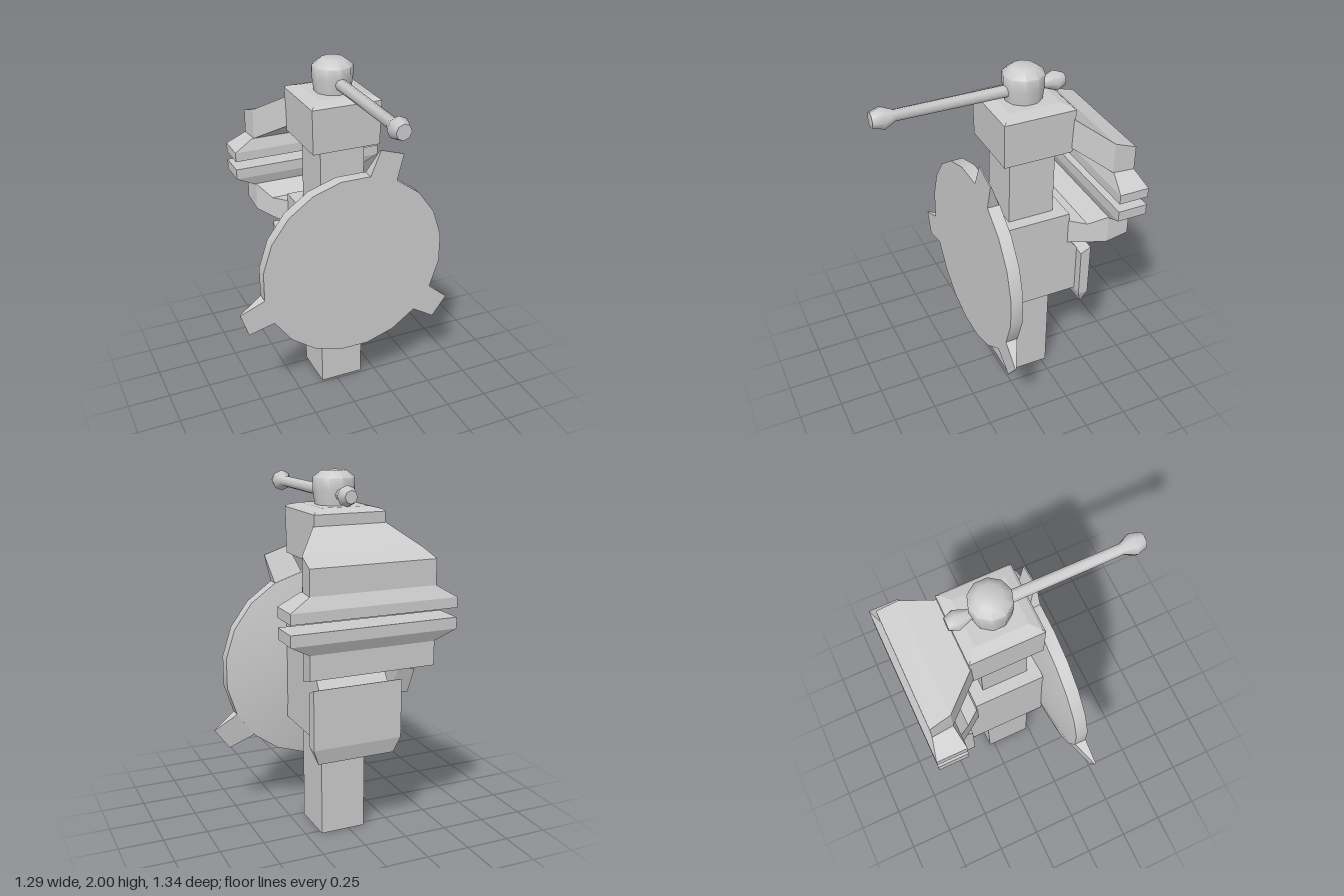
import * as THREE from 'three';
import { toCreasedNormals } from 'three/addons/utils/BufferGeometryUtils.js';

// Rectangular cross-sections, symmetric in x: one facing z, one facing y
const zRing = (z, y0, y1, w) => [[-w, y0, z], [w, y0, z], [w, y1, z], [-w, y1, z]];
const yRing = (y, z0, z1, w) => [[-w, y, z0], [w, y, z0], [w, y, z1], [-w, y, z1]];

// Capped, flat-faced loft through four-cornered rings
function loft(rings) {
  const tris = [];
  const quad = (a, b, c, d) => tris.push([a, b, c], [a, c, d]);
  for (let i = 0; i < rings.length - 1; i++) {
    const p = rings[i], q = rings[i + 1];
    for (let k = 0; k < 4; k++) {
      const n = (k + 1) % 4;
      quad(p[k], p[n], q[n], q[k]);
    }
  }
  const first = rings[0], last = rings[rings.length - 1];
  quad(first[3], first[2], first[1], first[0]);
  quad(...last);
  // Turn every face outwards by checking the signed volume
  const v = (p) => new THREE.Vector3(...p);
  const volume = tris.reduce((s, [a, b, c]) => s + v(a).dot(v(b).cross(v(c))), 0);
  if (volume < 0) tris.forEach((t) => t.reverse());
  const geometry = new THREE.BufferGeometry();
  geometry.setAttribute('position', new THREE.Float32BufferAttribute(tris.flat(2), 3));
  geometry.computeVertexNormals();
  return geometry;
}

// Turned part; profile points are [radius, height]
function turned(profile, sides, crease, start = 0) {
  const points = profile.map(([r, h]) => new THREE.Vector2(r, h));
  return toCreasedNormals(new THREE.LatheGeometry(points, sides, start), crease);
}

export function createModel() {
  const model = new THREE.Group();
  model.name = 'benchVise';
  model.position.x = 0.035;
  const steel = new THREE.MeshStandardMaterial({ color: 0xcccccc });
  steel.name = 'lightGreySteel';

  const add = (name, geometry, parent = model) => {
    const mesh = new THREE.Mesh(geometry, steel);
    mesh.name = name;
    parent.add(mesh);
    return mesh;
  };

  // Square post
  add('post', new THREE.BoxGeometry(0.26, 1.6, 0.265)).position.set(0, 0.8, -0.147);

  // Sliding head block with bevelled top
  add('headBlock', loft([
    yRing(1.55, -0.345, 0.045, 0.195),
    yRing(1.8, -0.355, 0.05, 0.2),
    yRing(1.812, -0.34, 0.035, 0.187),
    yRing(1.825, -0.295, -0.01, 0.135),
  ]));

  // Fixed body block and the plate on its back
  add('bodyBlock', loft([
    zRing(0.05, 0.6, 1.15, 0.2),
    zRing(-0.35, 0.6, 1.15, 0.2),
    zRing(-0.365, 0.6, 0.96, 0.2),
    zRing(-0.415, 0.6, 0.89, 0.2),
  ]));
  add('backPlate', loft([
    yRing(0.5, -0.448, -0.444, 0.22),
    yRing(0.59, -0.47, -0.412, 0.255),
    yRing(0.89, -0.47, -0.41, 0.255),
    yRing(0.92, -0.47, -0.466, 0.255),
  ]));

  // Upper jaw: flared arm and gripping pad
  add('upperJawArm', loft([
    zRing(-0.34, 1.575, 1.75, 0.195),
    zRing(-0.52, 1.455, 1.63, 0.333),
    zRing(-0.64, 1.455, 1.59, 0.345),
  ]));
  add('upperJawPad', loft([
    yRing(1.455, -0.64, -0.52, 0.345),
    yRing(1.39, -0.67, -0.5, 0.455),
    yRing(1.335, -0.67, -0.5, 0.455),
  ]));

  // Lower jaw
  add('lowerJawArm', loft([
    zRing(-0.34, 0.955, 1.105, 0.195),
    zRing(-0.43, 0.975, 1.1, 0.265),
    zRing(-0.52, 1.0, 1.165, 0.333),
    zRing(-0.64, 1.035, 1.165, 0.345),
  ]));
  add('lowerJawPad', loft([
    yRing(1.165, -0.64, -0.52, 0.345),
    yRing(1.225, -0.67, -0.5, 0.455),
    yRing(1.285, -0.67, -0.5, 0.455),
  ]));

  // Front disc with a shallow dished back and three wedge lugs
  const disc = new THREE.Group();
  disc.name = 'mountingDisc';
  disc.position.y = 0.885;
  model.add(disc);
  const plate = turned(
    [[0, 0.045], [0.28, 0.045], [0.547, 0.095], [0.547, 0.165], [0, 0.165]],
    20, 0.5, Math.PI / 20);
  add('discPlate', plate.rotateX(Math.PI / 2), disc);
  for (const angle of [72, 198, -36]) {
    const lug = add('discLug', loft([
      yRing(0.53, 0.095, 0.165, 0.0845),
      yRing(0.695, 0.158, 0.165, 0.073),
    ]), disc);
    lug.rotation.z = THREE.MathUtils.degToRad(angle - 90);
  }

  // Rounded screw head
  add('screwHead', turned(
    [[0, 1.81], [0.1, 1.81], [0.112, 1.9], [0.112, 1.965], [0.065, 2], [0, 2]],
    10, 0.95)).position.z = -0.147;

  // Sliding handle with a knob at each end
  const handle = turned([
    [0, -0.375], [0.035, -0.375], [0.056, -0.325], [0.03, -0.26],
    [0.034, -0.2], [0.031, 0.55], [0.06, 0.61], [0.042, 0.67], [0, 0.67],
  ], 8, 1.2);
  add('handle', handle.rotateX(Math.PI / 2)).position.set(0.005, 1.882, 0);

  return model;
}
